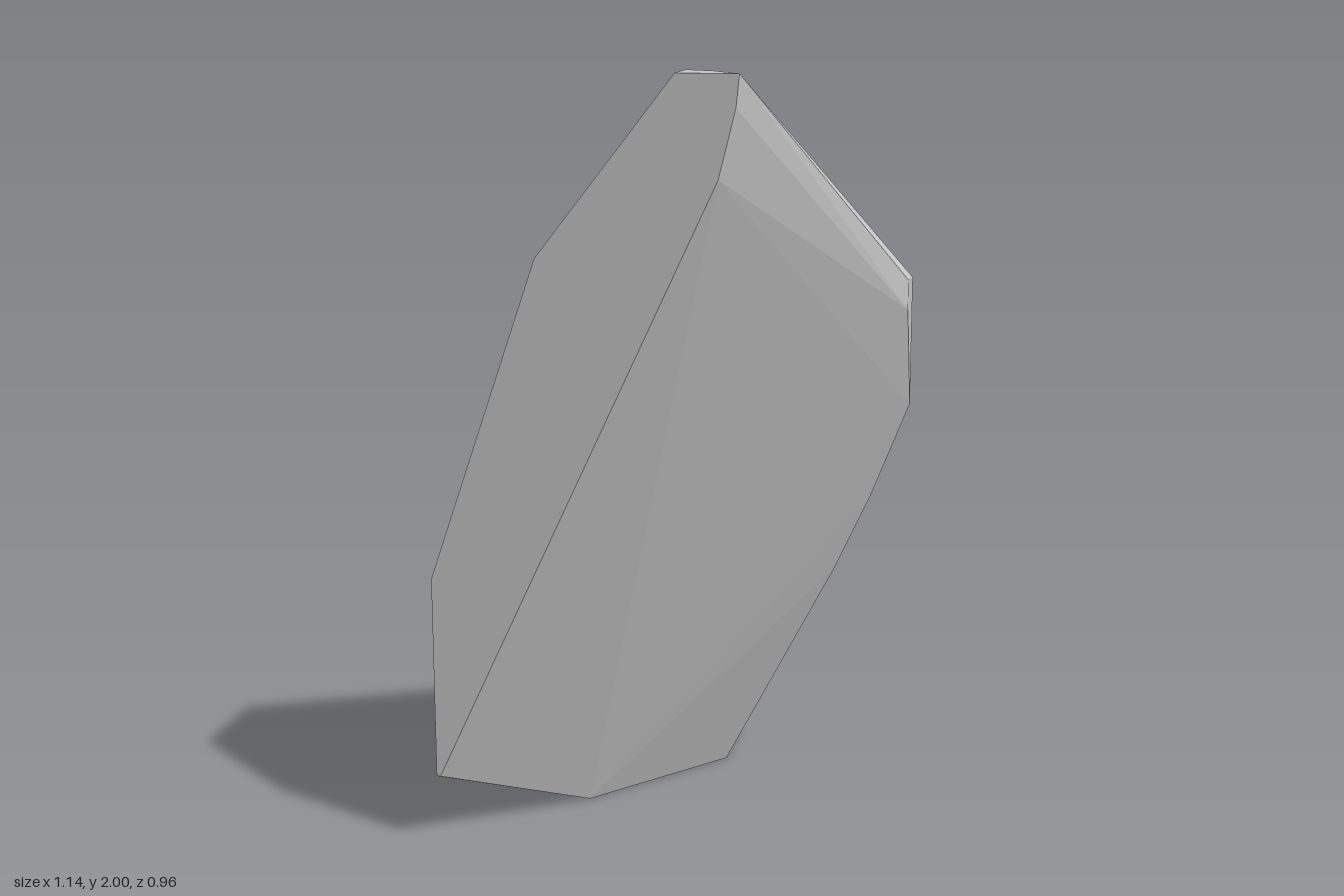
import * as THREE from 'three';
import { ConvexGeometry } from 'three/addons/geometries/ConvexGeometry.js';

export function createModel() {
  const group = new THREE.Group();
  group.name = 'rock';
  const stone = new THREE.MeshStandardMaterial({ color: 0xc7c7c7, flatShading: true });
  stone.name = 'light stone grey';

  // corners of the faceted boulder, grouped by the facet they bound
  const corners = [
    // flat front face
    [-0.57, 0.185, 0.48], [-0.57, 0.72, 0.48], [-0.285, 1.55, 0.48], [0.065, 2, 0.48],
    [0.22, 2, 0.48], [0.212, 1.92, 0.48], [0.17, 1.75, 0.48], [-0.56, 0.185, 0.48],
    // small top cap
    [0.065, 2, 0.34], [0.14, 2, 0.38],
    // right end and its bevel
    [0.57, 1.43, -0.13], [0.57, 1.35, -0.13], [0.57, 1.42, -0.25], [0.57, 1.07, -0.25], [0.45, 1.46, -0.25],
    // lower right edge
    [0.465, 0.8, -0.265], [0.37, 0.59, -0.265], [0.37, 0.59, -0.365], [0.37, 1.07, -0.365],
    // base
    [0.065, 0, -0.25], [0.065, 0, -0.48], [-0.1, 0, -0.48], [-0.25, 0, -0.3], [-0.25, 0, 0.12],
    // back slope and left side
    [0.065, 0.34, -0.48], [-0.25, 0.61, -0.23], [-0.57, 0.185, 0.16], [-0.57, 0.27, 0.16],
    [-0.57, 0.72, 0.31], [-0.285, 1.55, 0.24],
  ];
  const boulder = new THREE.Mesh(
    new ConvexGeometry(corners.map((c) => new THREE.Vector3(...c))), stone);
  boulder.name = 'boulder';
  group.add(boulder);
  return group;
}
